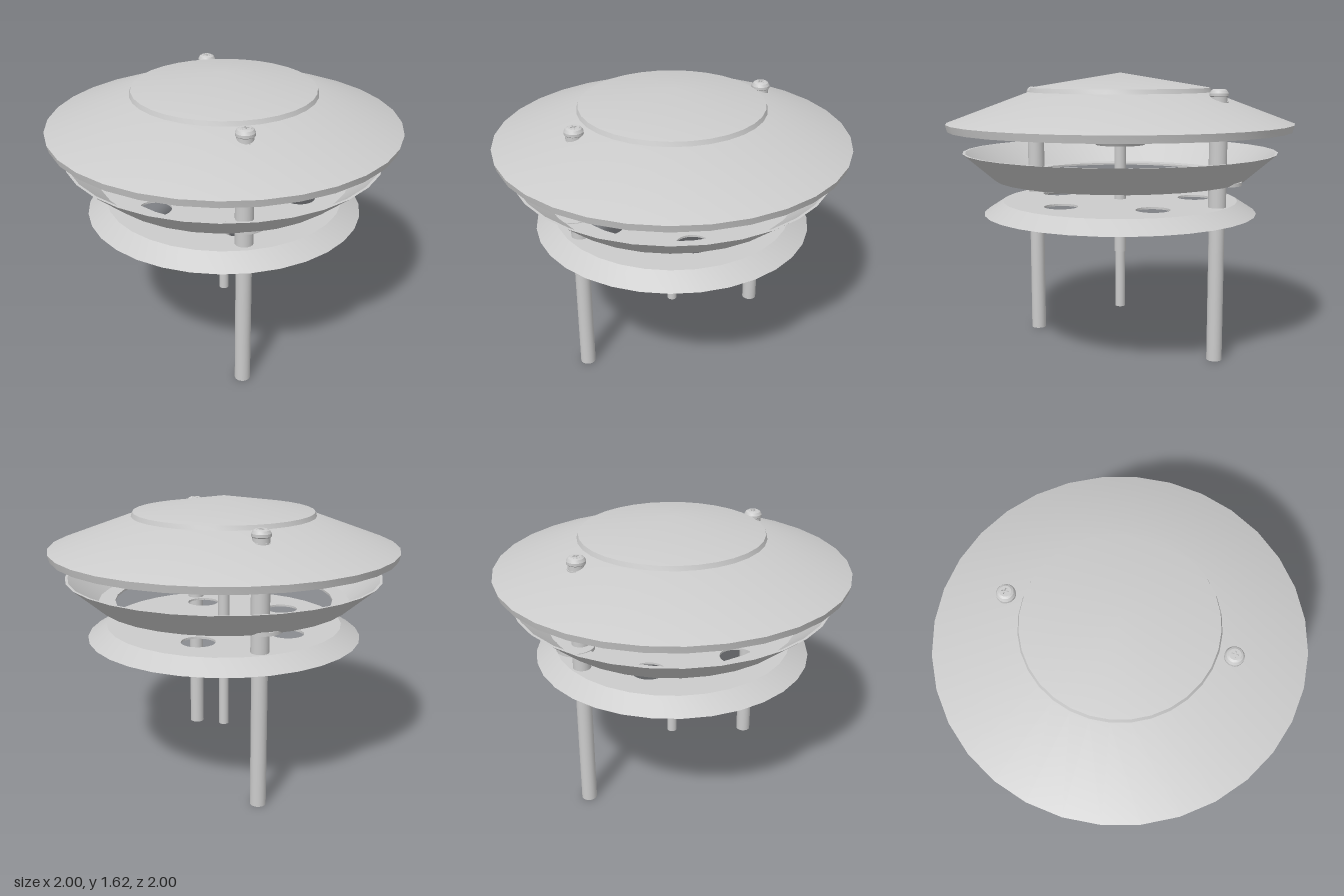
import * as THREE from 'three';
import { toCreasedNormals } from 'three/addons/utils/BufferGeometryUtils.js';

const material = new THREE.MeshStandardMaterial({ color: 0xcccccc });

function add(parent, name, geometry) {
  const mesh = new THREE.Mesh(geometry, material);
  mesh.name = name;
  parent.add(mesh);
  return mesh;
}

// Turned part; profile runs up the outside, then down the inside
function turned(profile, sides = 32) {
  const points = profile.map(([r, y]) => new THREE.Vector2(r, y));
  return toCreasedNormals(new THREE.LatheGeometry(points, sides), 0.45);
}

function rod(r, y0, y1, sides = 20) {
  return new THREE.CylinderGeometry(r, r, y1 - y0, sides).translate(0, (y0 + y1) / 2, 0);
}

// Flat horizontal plate cut from a shape, bottom at height y
function plate(shape, y, thickness, curveSegments = 16) {
  return new THREE.ExtrudeGeometry(shape, { depth: thickness, bevelEnabled: false, curveSegments })
    .rotateX(-Math.PI / 2).translate(0, y, 0);
}

function circle(r, x = 0, y = 0, Type = THREE.Shape) {
  return new Type().absarc(x, y, r, 0, Math.PI * 2, false);
}

// Plus-shaped recess for the screw heads
function crossHole(a, w) {
  const corners = [[w, a], [w, w], [a, w], [a, -w], [w, -w], [w, -a],
    [-w, -a], [-w, -w], [-a, -w], [-a, w], [-w, w], [-w, a]];
  return new THREE.Path(corners.map(([x, y]) => new THREE.Vector2(x, y)));
}

class Helix extends THREE.Curve {
  getPoint(t, target = new THREE.Vector3()) {
    const a = t * Math.PI * 2 * 3.5;
    return target.set(0.036 * Math.cos(a), 0.72 + 0.1 * t, 0.036 * Math.sin(a));
  }
}

export function createModel() {
  const model = new THREE.Group();
  model.name = 'tieredCanopy';

  // Upper canopy shell and its shallow conical cap
  add(model, 'canopy', turned([
    [0.975, 1.29], [0.99, 1.29], [1, 1.33], [0.53, 1.505],
    [0.5, 1.505], [0.5, 1.49], [0.98, 1.315], [0.975, 1.29],
  ]));
  add(model, 'cap', turned([[0, 1.5], [0.528, 1.5], [0.518, 1.53], [0, 1.615]]));

  // Housing under the cap, tapering to the hub
  add(model, 'housing', turned([
    [0, 1.2], [0.144, 1.2], [0.26, 1.385], [0.48, 1.39], [0.515, 1.5], [0, 1.5],
  ]));

  // Open middle bowl with an inward flange
  add(model, 'bowl', turned([
    [0.63, 1.01], [0.73, 1.01], [0.91, 1.165], [0.895, 1.165],
    [0.725, 1.022], [0.63, 1.022], [0.63, 1.01],
  ]));

  // Lower tray: sloped rim and a disc with five vents and two post holes
  const tray = new THREE.Group();
  tray.name = 'lowerTray';
  model.add(tray);
  add(tray, 'trayRim', turned([
    [0.775, 0.81], [0.795, 0.81], [0.685, 0.88], [0.67, 0.88], [0.67, 0.87], [0.775, 0.81],
  ]));
  const disc = circle(0.68);
  for (let i = 0; i < 5; i++) {
    const a = -Math.PI / 2 + i * Math.PI * 2 / 5;
    disc.holes.push(circle(0.095, 0.44 * Math.cos(a), 0.44 * Math.sin(a), THREE.Path));
  }
  for (const z of [0.605, -0.62]) disc.holes.push(circle(0.05, 0, -z, THREE.Path));
  add(tray, 'trayDisc', plate(disc, 0.868, 0.012));

  // Support posts with sleeves, bowl washers and cross-head screws
  for (const z of [0.605, -0.62]) {
    const post = new THREE.Group();
    post.name = z > 0 ? 'frontPost' : 'backPost';
    post.position.z = z;
    model.add(post);
    add(post, 'leg', rod(0.044, 0, 0.88));
    add(post, 'sleeve', rod(0.05, 0.87, 1.46));
    const washer = add(post, 'washer', rod(0.105, 1.006, 1.026, 24));
    washer.position.z = 0.033 * Math.sign(z);
    add(post, 'screwHead', turned([
      [0, 1.45], [0.046, 1.45], [0.046, 1.485], [0.052, 1.49], [0.052, 1.505],
      [0.043, 1.521], [0.03, 1.528], [0.03, 1.515], [0, 1.515],
    ], 20));
    const top = circle(0.031);
    top.holes.push(crossHole(0.019, 0.005));
    add(post, 'screwTop', plate(top, 1.514, 0.014, 10));
  }

  // Central stem with a threaded section
  const stem = new THREE.Group();
  stem.name = 'stem';
  model.add(stem);
  add(stem, 'upperStem', rod(0.034, 0.565, 1.21));
  add(stem, 'lowerStem', rod(0.029, 0.228, 0.57));
  add(stem, 'thread', new THREE.TubeGeometry(new Helix(), 84, 0.008, 6));

  return model;
}
